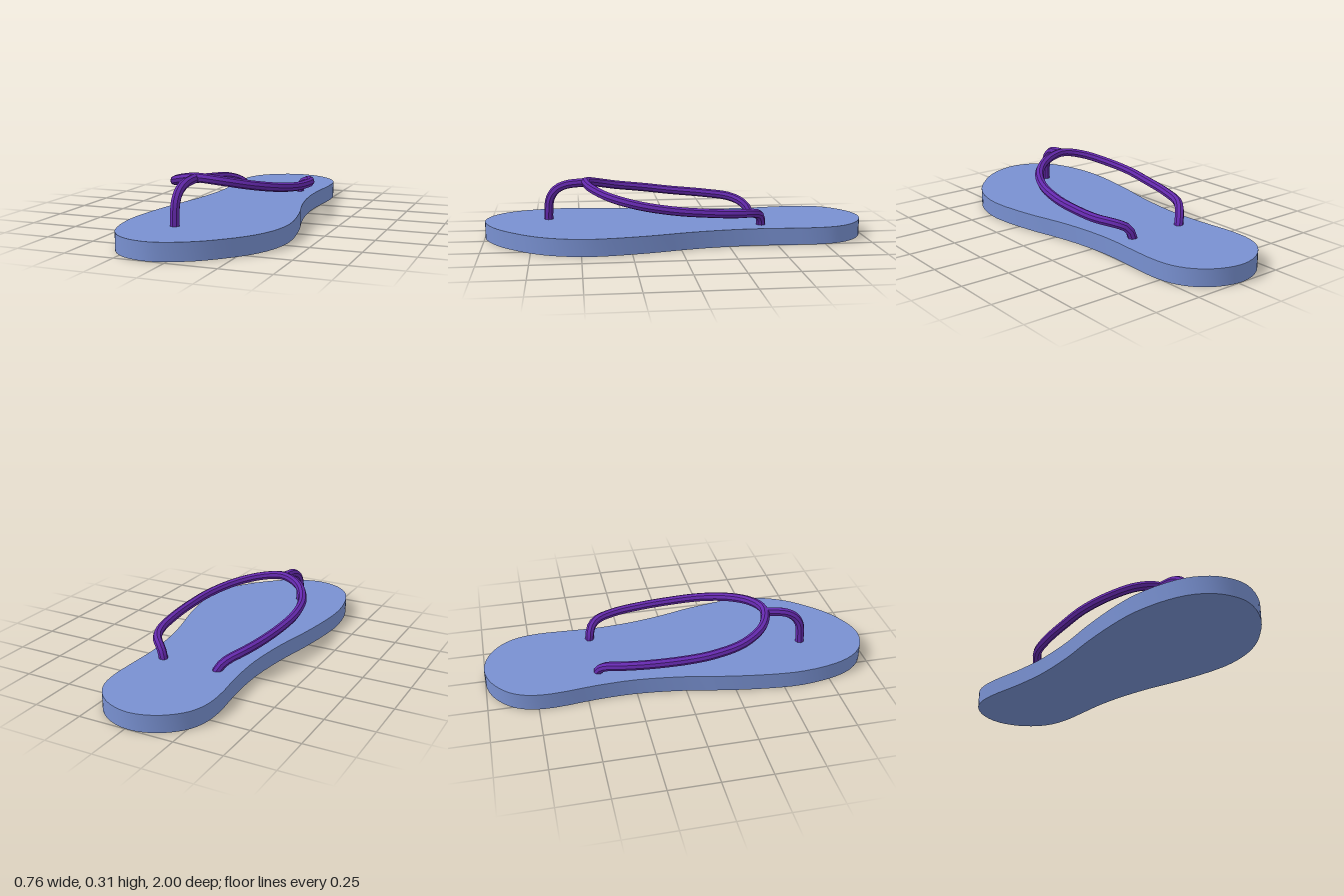
import * as THREE from 'three';
import { toCreasedNormals } from 'three/addons/utils/BufferGeometryUtils.js';

export function createModel() {
  const model = new THREE.Group();
  model.name = 'flipFlop';

  const foam = new THREE.MeshStandardMaterial({ name: 'blue foam', color: 0x7890d0 });
  const rubber = new THREE.MeshStandardMaterial({ name: 'purple rubber', color: 0x6429ad });

  // Sole: smooth closed foot outline (x, z), extruded upward
  const soleHeight = 0.088;
  const outline = [
    [-0.02, -1], [0.1, -0.97], [0.19, -0.9], [0.24, -0.81], [0.257, -0.7], [0.255, -0.58],
    [0.248, -0.38], [0.262, -0.2], [0.292, -0.03], [0.345, 0.18], [0.38, 0.44], [0.355, 0.6],
    [0.3, 0.72], [0.22, 0.82], [0.11, 0.92], [-0.02, 0.985], [-0.11, 0.998], [-0.22, 0.965],
    [-0.3, 0.89], [-0.35, 0.78], [-0.38, 0.6], [-0.373, 0.43], [-0.34, 0.2], [-0.3, 0],
    [-0.272, -0.25], [-0.276, -0.45], [-0.297, -0.68], [-0.285, -0.8], [-0.24, -0.89], [-0.14, -0.97],
  ].map(([x, z]) => new THREE.Vector3(x, -z, 0));
  const edge = new THREE.CatmullRomCurve3(outline, true, 'centripetal').getPoints(90);
  edge.pop();
  const soleShape = new THREE.Shape(edge.map((p) => new THREE.Vector2(p.x, p.y)));
  const soleGeometry = new THREE.ExtrudeGeometry(soleShape, { depth: soleHeight, bevelEnabled: false });
  soleGeometry.rotateX(-Math.PI / 2);
  const sole = new THREE.Mesh(toCreasedNormals(soleGeometry, 0.6), foam);
  sole.name = 'sole';
  model.add(sole);

  // Cords: eight-sided tubes whose open ends are sunk into the sole
  function addCord(name, points, segments) {
    const path = new THREE.CatmullRomCurve3(points.map((p) => new THREE.Vector3(...p)), false, 'centripetal');
    const geometry = toCreasedNormals(new THREE.TubeGeometry(path, segments, 0.0235, 8), 0.5);
    const cord = new THREE.Mesh(geometry, rubber);
    cord.name = name;
    model.add(cord);
  }

  // Strap looping over the foot from one side anchor to the other
  addCord('strap', [
    [0.148, 0.06, -0.432], [0.152, 0.105, -0.43], [0.175, 0.143, -0.418], [0.215, 0.162, -0.38],
    [0.257, 0.17, -0.28], [0.273, 0.18, -0.14], [0.27, 0.193, 0.02], [0.235, 0.217, 0.2],
    [0.15, 0.247, 0.35], [0.03, 0.275, 0.44], [-0.09, 0.288, 0.465], [-0.2, 0.267, 0.42],
    [-0.28, 0.235, 0.3], [-0.312, 0.212, 0.14], [-0.307, 0.195, 0], [-0.28, 0.178, -0.2],
    [-0.243, 0.163, -0.33], [-0.195, 0.137, -0.395], [-0.163, 0.1, -0.427], [-0.15, 0.06, -0.435],
  ], 72);

  // Toe post rising between the toes to meet the strap
  addCord('toePost', [
    [-0.108, 0.06, 0.665], [-0.108, 0.13, 0.664], [-0.107, 0.2, 0.655], [-0.104, 0.245, 0.625],
    [-0.099, 0.272, 0.575], [-0.09, 0.286, 0.465],
  ], 20);

  return model;
}
